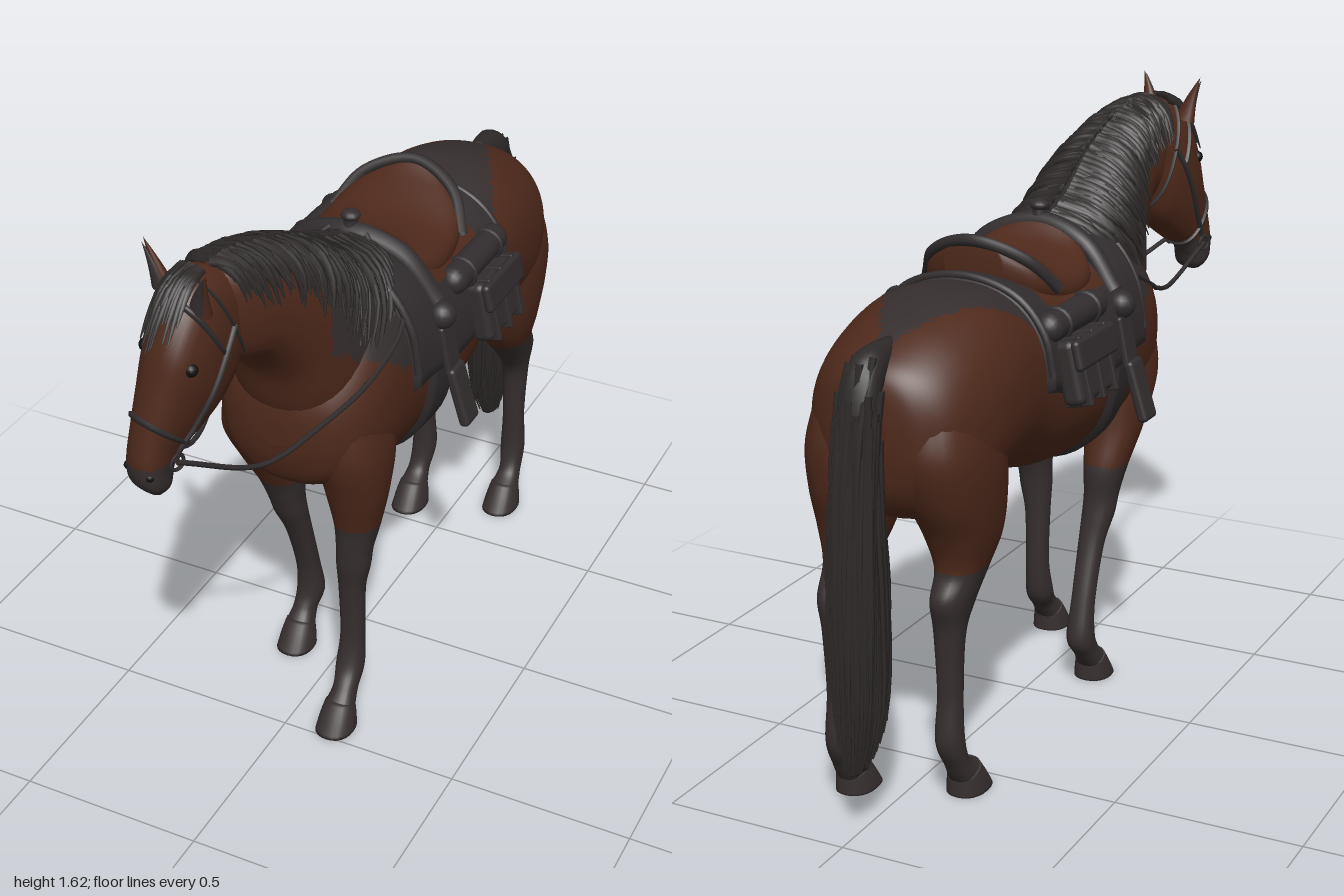
import * as THREE from 'three';
import { RoundedBoxGeometry } from 'three/addons/geometries/RoundedBoxGeometry.js';

const mat = (name, color, side = THREE.FrontSide) => {
  const m = new THREE.MeshStandardMaterial({ color, side });
  m.name = name;
  return m;
};
const V = (x, y, z) => new THREE.Vector3(x, y, z);
const clamp = THREE.MathUtils.clamp;

// Cross-sections: [zA, yA, zB, yB, x, halfWidth, yaw]; A and B are opposite ends of the ring.
const torso = [
  [-.84, 1.07, -.84, .95, 0, .05], [-.82, 1.15, -.82, .85, 0, .13], [-.76, 1.2, -.76, .78, 0, .2],
  [-.65, 1.25, -.65, .75, 0, .238], [-.5, 1.285, -.5, .78, 0, .248], [-.35, 1.27, -.35, .78, 0, .243],
  [-.2, 1.25, -.2, .73, 0, .25], [0, 1.27, 0, .705, 0, .252], [.15, 1.31, .15, .7, 0, .243],
  [.3, 1.29, .3, .72, 0, .238], [.4, 1.22, .4, .755, 0, .215], [.47, 1.13, .47, .8, 0, .165],
  [.502, 1.06, .502, .87, 0, .1], [.512, 1, .512, .93, 0, .04]];
const neck = [
  [.08, 1.31, .4, .86, 0, .19], [.25, 1.37, .5, 1.02, 0, .176], [.41, 1.46, .55, 1.16, .005, .143],
  [.57, 1.525, .62, 1.25, -.005, .116], [.7, 1.555, .69, 1.28, -.025, .097], [.78, 1.54, .76, 1.32, -.045, .06]];
const head = [
  [.69, 1.55, .63, 1.32, -.035, .08], [.8, 1.56, .65, 1.27, -.045, .092], [.87, 1.52, .68, 1.22, -.055, .1],
  [.93, 1.43, .73, 1.18, -.065, .097], [.96, 1.32, .79, 1.14, -.08, .08], [.985, 1.22, .84, 1.115, -.093, .064],
  [1, 1.14, .86, 1.085, -.1, .06], [.99, 1.08, .875, 1.045, -.102, .058], [.955, 1.04, .905, 1.03, -.1, .035]]
  .map(s => [...s, .33]);
const foreLeg = [
  [.46, 1.02, .2, 1, .12, .09], [.47, .88, .22, .86, .14, .095], [.435, .75, .25, .73, .145, .08],
  [.4, .63, .26, .62, .14, .06], [.39, .55, .285, .54, .135, .048], [.385, .49, .295, .48, .132, .045],
  [.37, .4, .3, .4, .125, .036], [.365, .25, .3, .25, .125, .033], [.385, .16, .31, .14, .125, .038],
  [.42, .11, .355, .085, .13, .033], [.45, .08, .385, .045, .13, .04]];
const hindLeg = [
  [-.5, 1.05, -.79, 1.08, .11, .1], [-.48, .92, -.825, .95, .125, .113], [-.5, .8, -.815, .83, .13, .105],
  [-.55, .7, -.785, .72, .135, .085], [-.615, .62, -.785, .63, .135, .06], [-.7, .53, -.835, .56, .13, .048],
  [-.745, .45, -.83, .47, .125, .038], [-.755, .3, -.82, .3, .125, .032], [-.755, .18, -.83, .17, .125, .036],
  [-.735, .11, -.795, .09, .13, .032], [-.69, .08, -.77, .045, .13, .04]];
const tail = [
  [-.72, 1.14, -.72, 1.22, 0, .025], [-.82, 1.1, -.84, 1.21, 0, .045], [-.845, 1.02, -.905, 1.12, 0, .05],
  [-.85, .9, -.935, .92, 0, .05], [-.83, .65, -.975, .65, -.005, .058], [-.84, .4, -.985, .4, -.012, .056],
  [-.855, .28, -.985, .26, -.014, .042], [-.89, .19, -.975, .18, -.012, .02]];
const seat = [
  [-.3, 1.36, -.3, 1.24, 0, .08], [-.24, 1.325, -.24, 1.18, 0, .165], [-.12, 1.285, -.12, 1.14, 0, .195],
  [0, 1.295, 0, 1.15, 0, .19], [.07, 1.345, .07, 1.2, 0, .12]];

// Smooth interpolation between cross-sections
function at(S, t) {
  const n = S.length - 1, i = Math.min(Math.floor(t), n - 1), u = t - i;
  const k = j => S[clamp(j, 0, n)];
  return k(i).map((b, c) => {
    const a = k(i - 1)[c], d = k(i + 1)[c], e = k(i + 2)[c];
    return b + .5 * u * (d - a + u * (2 * a - 5 * b + 4 * d - e + u * (3 * (b - d) + e - a)));
  });
}
function surf(S, t, a, off = 0) {
  const [zA, yA, zB, yB, x, w, yaw = 0] = at(S, t);
  const hz = (zA - zB) / 2, hy = (yA - yB) / 2, k = 1 + off / Math.hypot(hz, hy);
  const soft = v => Math.sign(v) * Math.abs(v) ** .88;
  const c = soft(Math.cos(a)) * k, s = soft(Math.sin(a)) * (w + off);
  return V(x + s * Math.cos(yaw), (yA + yB) / 2 + c * hy, (zA + zB) / 2 + c * hz + s * Math.sin(yaw));
}

// Skin over cross-sections; pick(x, y, z) chooses the second material; an arc leaves it open.
function loft(S, { t0 = 0, t1 = S.length - 1, rows = 60, cols = 36, arc = 0, off = 0, pick, edge = 0 } = {}) {
  const pos = [], lists = [[], []], n = arc ? cols + 1 : cols;
  for (let i = 0; i <= rows; i++) for (let j = 0; j < n; j++) {
    const a = arc ? arc * (2 * j / cols - 1) : 2 * Math.PI * j / cols;
    const rim = edge && (i === 0 || i === rows || (arc && (j === 0 || j === cols)));
    pos.push(...surf(S, t0 + (t1 - t0) * i / rows, a, rim ? off - edge : off).toArray());
  }
  const tri = (...f) => {
    const m = [0, 1, 2].map(c => f.reduce((s, v) => s + pos[v * 3 + c] / 3, 0));
    lists[pick && pick(...m) ? 1 : 0].push(...f);
  };
  for (let i = 0; i < rows; i++) for (let j = 0; j < cols; j++) {
    const a = i * n + j, b = i * n + (j + 1) % n;
    tri(a, a + n, b);
    tri(b, a + n, b + n);
  }
  if (!arc && !edge) for (const r of [0, rows]) {
    const c = pos.length / 3, sum = [0, 0, 0];
    for (let j = 0; j < n * 3; j++) sum[j % 3] += pos[r * n * 3 + j] / n;
    pos.push(...sum);
    for (let j = 0; j < n; j++) {
      const p = r * n + j, q = r * n + (j + 1) % n;
      r ? tri(c, q, p) : tri(c, p, q);
    }
  }
  const g = new THREE.BufferGeometry();
  g.setAttribute('position', new THREE.Float32BufferAttribute(pos, 3));
  g.setIndex([...lists[0], ...lists[1]]);
  g.addGroup(0, lists[0].length, 0);
  g.addGroup(lists[0].length, lists[1].length, 1);
  g.computeVertexNormals();
  return g;
}
// Round cord along points, optionally tapering to a tip
function cord(points, r, taper = 0, seg = 8, sides = 5) {
  const curve = new THREE.CatmullRomCurve3(points), g = new THREE.TubeGeometry(curve, seg, r, sides);
  const p = g.attributes.position, v = V();
  for (let i = 0; i < p.count; i++) {
    const u = Math.floor(i / (sides + 1)) / seg, c = curve.getPointAt(u);
    v.fromBufferAttribute(p, i).sub(c).multiplyScalar(1 - taper * u * u).add(c);
    p.setXYZ(i, v.x, v.y, v.z);
  }
  return g;
}

export function createModel() {
  const coat = mat('bay coat', 0x4e291b), points = mat('dark points', 0x362e2e);
  const hair = mat('hair', 0x2e2929), leather = mat('dark leather', 0x322d2e, THREE.DoubleSide);
  const hoofMat = mat('hoof', 0x383031), black = mat('eye black', 0x110e0e);
  const root = new THREE.Group();
  root.name = 'saddledHorse';
  const add = (name, g, m, parent = root) => {
    const o = new THREE.Mesh(g, m);
    o.name = name;
    parent.add(o);
    return o;
  };
  const group = name => { const g = new THREE.Group(); g.name = name; root.add(g); return g; };
  let seed = 7;
  const rnd = () => (seed = (seed * 16807) % 2147483647) / 2147483647;

  // Body, neck and head
  const rump = (x, y, z) => y > 1.1 && z < -.3 && Math.abs(x) < .03 + .5 * (z + .72);
  const withers = (x, y, z) => y > 1.0 && z > .05 && y > 1.02 + .6 * (z - .15);
  add('torso', loft(torso, { rows: 110, cols: 64, pick: (...p) => rump(...p) || withers(...p) }), [coat, points]);
  add('neck', loft(neck, { pick: (x, y, z) => z < .48 && withers(x, y, z) }), [coat, points]);
  add('head', loft(head, { pick: (x, y) => y < 1.135 }), [coat, points]);
  const sheath = add('sheath', new THREE.SphereGeometry(.045, 16, 12), points);
  sheath.position.set(0, .82, -.43);
  sheath.scale.set(.8, 1, 1.3);

  // Legs, with the right pair shifted in stride
  const leg = (name, S, s, shift, high, range) => {
    const move = r => r.map((v, c) => c === 4 ? v * s
      : c === 0 || c === 2 ? v + shift * clamp((high - r[c + 1]) / range, 0, 1) : v);
    const g = group(name), last = S[S.length - 1], hz = last[0], bz = last[2];
    add('limb', loft(S.map(move), { rows: 70, cols: 24, pick: (x, y) => y < .63 }), [coat, points], g);
    add('hoof', loft([[hz + .002, .083, bz, .05, .13, .041], [hz + .03, .045, bz, .025, .13, .048],
      [hz + .06, 0, bz, 0, .13, .053]].map(move), { rows: 8, cols: 24 }), hoofMat, g);
  };
  leg('leftForeLeg', foreLeg, 1, 0, .95, .85);
  leg('rightForeLeg', foreLeg, -1, -.265, .95, .85);
  leg('leftHindLeg', hindLeg, 1, 0, .9, .4);
  leg('rightHindLeg', hindLeg, -1, .115, .9, .4);

  // Ears, eyes, nostrils
  for (const s of [1, -1]) {
    const side = s > 0 ? 'left' : 'right', ears = group(side + 'Ear');
    for (const [name, m, r, h, z] of [['earBack', coat, .033, .13, 0], ['earInner', points, .025, .115, .012]]) {
      const g = new THREE.ConeGeometry(r, h, 14, 6), p = g.attributes.position;
      for (let i = 0; i < p.count; i++) p.setX(i, p.getX(i) + s * .018 * (p.getY(i) / h + .5) ** 2);
      g.computeVertexNormals();
      add(name, g, m, ears).position.z = z;
    }
    ears.position.set(-.06 + s * .078, 1.562, .83 + s * .035);
    ears.rotation.set(.2, -.33, -s * .2);
    ears.scale.z = .7;
    const eye = add(side + 'Eye', new THREE.SphereGeometry(.017, 12, 10), black);
    eye.position.copy(surf(head, 2.95, s * 1.0, -.006));
    const nostril = add(side + 'Nostril', new THREE.SphereGeometry(.011, 10, 8), black);
    nostril.position.copy(surf(head, 6.3, s * .75, -.006));
  }

  // Mane draped over both sides of the crest, longest near the withers
  const mane = group('mane');
  add('maneBase', loft(neck, { t0: .2, t1: 4.4, rows: 40, cols: 20, arc: .85, off: .01, edge: .02 }),
    [hair, hair], mane);
  for (let i = 0; i < 220; i++) {
    const s = i % 2 ? 1 : -1, t = .3 + 4.1 * i / 220, lean = .35 * rnd();
    const end = .75 + rnd() * .6 + .45 * (1 - t / 4.4);
    const pts = [0, .33, .66, 1].map(u =>
      surf(neck, clamp(t - lean * u, 0, 5), s * (.03 + end * u), .006 + .01 * rnd()));
    add('maneLock', cord(pts, .009 + .006 * rnd(), .85), hair, mane);
  }
  for (let i = 0; i < 18; i++) {
    const a = -.85 + 1.2 * i / 17, len = 1.3 + rnd() * 1.2;
    const pts = [0, .35, .7, 1].map(u => surf(head, .8 + len * u, a * (.5 + .5 * u), .003 + .006 * rnd()));
    add('forelock', cord(pts, .011, .85), hair, mane);
  }

  // Tail with loose locks
  const tailGroup = group('tail');
  add('tailCore', loft(tail, { rows: 40, cols: 20 }), hair, tailGroup);
  for (let i = 0; i < 56; i++) {
    const a = i * 2.4, start = 1 + rnd() * 2.5, end = 5.4 + rnd() * 1.6;
    const pts = [0, .25, .5, .75, 1].map(u => surf(tail, start + (end - start) * u, a, .008 * rnd()));
    add('tailLock', cord(pts, .01, .8, 12), hair, tailGroup);
  }

  // Saddle
  const saddle = group('saddle');
  add('saddlePad', loft(torso, { t0: 4.87, t1: 8.45, rows: 60, cols: 60, arc: 1.64, off: .018, edge: .022,
    pick: (x, y, z) => y > 1.19 && z < .035 && z > -.26 }), [leather, coat], saddle);
  add('girth', loft(torso, { t0: 7, t1: 7.85, rows: 8, cols: 48, off: .014, edge: .016 }),
    [leather, leather], saddle);
  add('seat', loft(seat, { rows: 30 }), coat, saddle);
  add('cantle', cord([V(-.19, 1.23, -.19), V(-.13, 1.315, -.26), V(0, 1.36, -.3), V(.13, 1.315, -.26),
    V(.19, 1.23, -.19)], .016, 0, 30, 8), leather, saddle);
  add('pommel', cord([V(-.23, 1.17, .06), V(-.14, 1.285, .07), V(0, 1.33, .085), V(.14, 1.285, .07),
    V(.23, 1.17, .06)], .028, 0, 30, 10), leather, saddle);
  add('hornPost', new THREE.CylinderGeometry(.016, .024, .07, 14), leather, saddle).position.set(0, 1.35, .085);
  const cap = add('hornCap', new THREE.SphereGeometry(.026, 14, 10), leather, saddle);
  cap.position.set(0, 1.375, .085);
  cap.scale.y = .6;
  for (const t of [4.95, 8.38])
    add('padBinding', cord([-1.5, -1.1, -.6, 0, .6, 1.1, 1.5].map(a => surf(torso, t, a, .012)), .011, 0, 36, 8),
      leather, saddle);

  for (const s of [1, -1]) {
    const g = group(s > 0 ? 'leftSaddleGear' : 'rightSaddleGear');
    const box = (name, size, at, r = .012, tilt = .22) => {
      const o = add(name, new RoundedBoxGeometry(...size, 3, r), leather, g);
      o.position.set(s * at[0], at[1], at[2]);
      o.rotation.z = s * tilt;
    };
    // Saddlebag, bedroll and their straps
    box('saddlebag', [.06, .17, .22], [.277, 1.05, -.215], .02);
    box('bagFlap', [.025, .08, .225], [.302, 1.1, -.215]);
    for (const z of [-.29, -.215, -.14]) box('bagStrap', [.075, .18, .018], [.28, 1.05, z], .004);
    const roll = add('bedroll', new THREE.CapsuleGeometry(.04, .25, 6, 16), leather, g);
    roll.rotation.x = Math.PI / 2;
    roll.position.set(s * .225, 1.165, -.19);
    for (const z of [-.28, -.11]) {
      const ring = add('rollStrap', new THREE.TorusGeometry(.041, .007, 6, 18), leather, g);
      ring.position.set(s * .225, 1.165, z);
    }
    // Stirrup leather and hooded stirrup
    box('stirrupLeather', [.02, .14, .07], [.27, 1.04, .06], .008, .2);
    box('stirrup', [.03, .17, .075], [.31, .91, .06], .012, .3);
    const knob = add('canteen', new THREE.SphereGeometry(.038, 16, 12), leather, g);
    knob.position.set(s * .25, 1.135, .065);

    // Reins and cheek straps
    const bit = surf(head, 5.6, s * 1.9, .008);
    add('rein', cord([bit, V(-.02 + s * .1, 1.025, .72), V(s * .15, 1.055, .55), V(s * .205, 1.11, .38),
      V(s * .205, 1.2, .2), V(s * .05, 1.34, .1)], .007, 0, 40), leather, g);
    add('cheekStrap', cord([1, 2, 3, 4, 5, 5.6].map(t => surf(head, t, s * (1.4 + .09 * t), .003)), .008, 0, 30),
      leather, g);
    const ring = add('bitRing', new THREE.TorusGeometry(.02, .005, 6, 16), leather, g);
    ring.position.copy(bit);
    ring.rotation.y = Math.PI / 2 - .33;
  }

  // Bridle bands
  const bridle = group('bridle');
  for (const [name, t0, t1] of [['throatlatch', 1, 1.13], ['noseband', 4.55, 4.75]])
    add(name, loft(head, { t0, t1, rows: 4, off: .008, edge: .01 }), [leather, leather], bridle);
  add('browband', loft(head, { t0: 1.85, t1: 2.05, rows: 4, arc: 1.6, off: .008, edge: .01 }),
    [leather, leather], bridle);
  return root;
}
